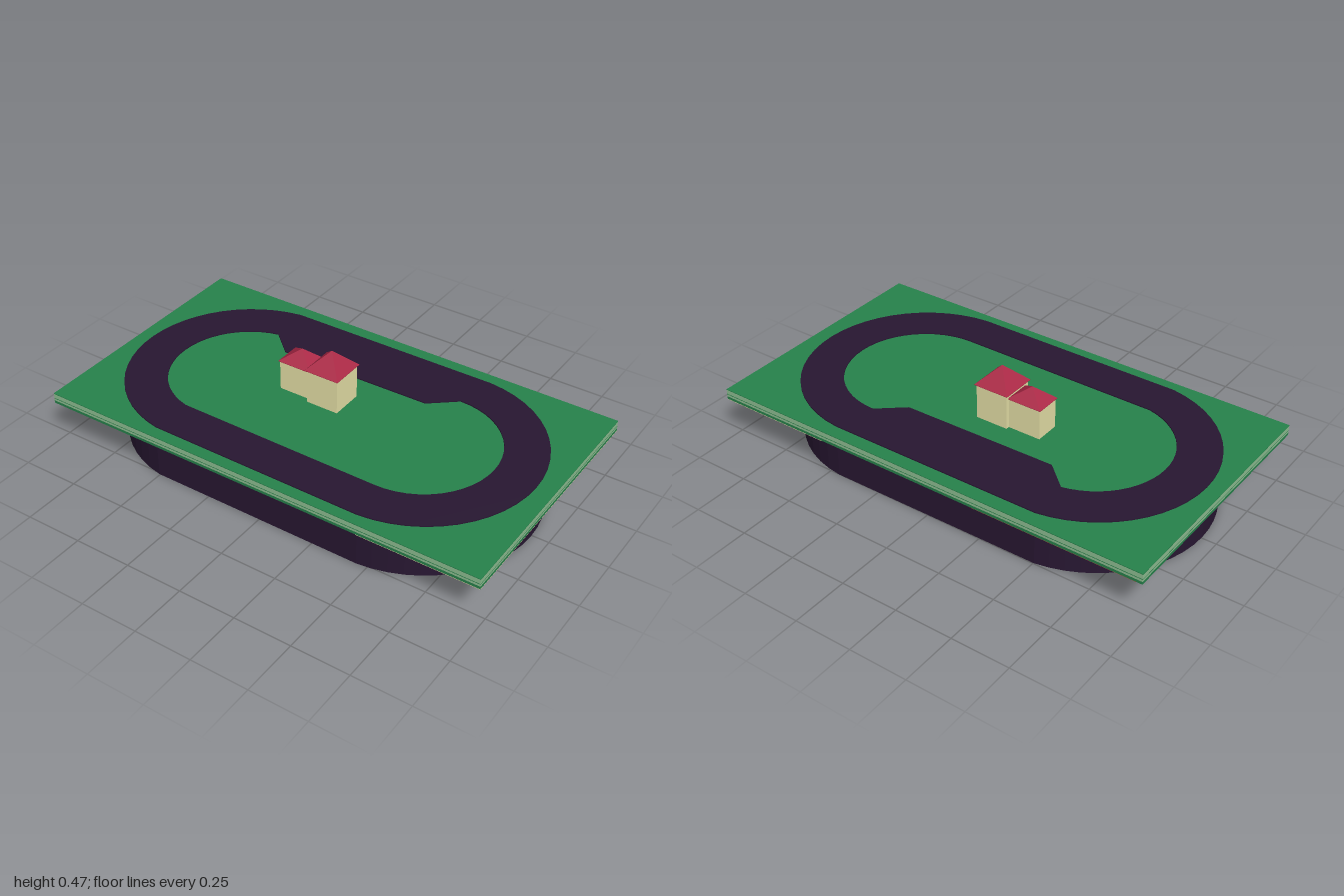
import * as THREE from 'three';

const flat = (name, color) => Object.assign(new THREE.MeshStandardMaterial({ color }), { name });

export function createModel() {
  const root = new THREE.Group();
  const asphalt = flat('asphalt', 0x281732);
  const grass = flat('grass', 0x27834c);
  const rim = flat('paleGreenRim', 0x8fbf92);
  const cream = flat('cream', 0xe9e4a9);
  const roofRed = flat('roofRed', 0xac2846);
  const soil = flat('soil', 0xac4c32);
  const clay = flat('clay', 0xd65a3c);

  const add = (name, geometry, material, x = 0, y = 0, z = 0, parent = root) => {
    const mesh = new THREE.Mesh(geometry, material);
    mesh.name = name;
    mesh.position.set(x, y, z);
    parent.add(mesh);
    return mesh;
  };
  // box given by its limits
  const block = (name, x0, x1, y0, y1, z0, z1, material, parent) =>
    add(name, new THREE.BoxGeometry(x1 - x0, y1 - y0, z1 - z0), material,
      (x0 + x1) / 2, (y0 + y1) / 2, (z0 + z1) / 2, parent);

  // stadium outline; shape y becomes -z once laid flat
  const arc = (cx, r, from, to, n = 24) => Array.from({ length: n + 1 }, (_, i) => {
    const a = from + (to - from) * i / n;
    return new THREE.Vector2(cx + r * Math.cos(a), r * Math.sin(a) - 0.005);
  });
  const outer = [
    ...arc(0.418, 0.508, -1.5, 1.5),
    ...arc(-0.428, 0.508, 1.72, 2 * Math.PI - 1.72),
  ];
  // inner edge with the widened straight at the back
  const inner = [
    ...arc(0.418, 0.328, -1.58, 1.59),
    new THREE.Vector2(0.3, 0.23), new THREE.Vector2(-0.39, 0.22),
    ...arc(-0.428, 0.328, 1.78, 2 * Math.PI - 1.78),
  ];
  const slabShape = (shape, depth) =>
    new THREE.ExtrudeGeometry(shape, { depth, bevelEnabled: false }).rotateX(-Math.PI / 2);

  // plinth below the board
  add('plinth', slabShape(new THREE.Shape(outer), 0.195), asphalt);

  // board built from layers, bottom to top
  const layers = [
    ['boardLowerEdge', 0.19, 0.202, grass],
    ['boardLowerBand', 0.202, 0.2115, rim],
    ['boardStripe', 0.2115, 0.2145, grass],
    ['boardUpperBand', 0.2145, 0.234, rim],
    ['lawn', 0.234, 0.237, grass],
  ];
  for (const [name, y0, y1, material] of layers) block(name, -1, 1, y0, y1, -0.56, 0.56, material);

  // underside: cream at one end, soil and clay at the other
  block('creamUnderside', 0.48, 1, 0.188, 0.19, -0.56, 0.56, cream);
  block('soilUnderside', -0.998, 0.48, 0.188, 0.19, -0.558, 0.558, soil);
  block('darkUndersidePatch', -0.26, 0.0, 0.186, 0.188, -0.557, -0.4, asphalt);
  const clayShape = new THREE.Shape([
    new THREE.Vector2(-0.985, 0.52), new THREE.Vector2(-0.7, 0.33),
    new THREE.Vector2(-0.26, 0.4), new THREE.Vector2(-0.26, 0.557), new THREE.Vector2(-0.97, 0.557),
  ]);
  add('clayUndersidePatch', slabShape(clayShape, 0.002), clay, 0, 0.186, 0);

  // track ring
  const ring = new THREE.Shape(outer);
  ring.holes.push(new THREE.Path(inner));
  add('track', slabShape(ring, 0.006), asphalt, 0, 0.236, 0);

  // houses with hipped pyramid roofs
  const house = (name, cx, cz, w, d, eave, peak, overhang) => {
    const g = new THREE.Group();
    g.name = name;
    root.add(g);
    block('walls', cx - w / 2, cx + w / 2, 0.23, eave, cz - d / 2, cz + d / 2, cream, g);
    const rw = w + overhang * 2, rd = d + overhang * 2;
    block('eaves', cx - rw / 2, cx + rw / 2, eave - 0.001, eave + 0.001, cz - rd / 2, cz + rd / 2, roofRed, g);
    const h = peak - eave - 0.001;
    const roof = new THREE.ConeGeometry(Math.SQRT1_2, h, 4, 1).rotateY(Math.PI / 4)
      .scale(rw, 1, rd).toNonIndexed();
    roof.computeVertexNormals();
    add('roof', roof, roofRed, cx, eave + 0.001 + h / 2, cz, g);
  };
  house('largeHouse', -0.032, -0.046, 0.145, 0.146, 0.391, 0.472, 0.007);
  house('smallHouse', -0.178, -0.048, 0.146, 0.11, 0.371, 0.428, 0.005);

  return root;
}
